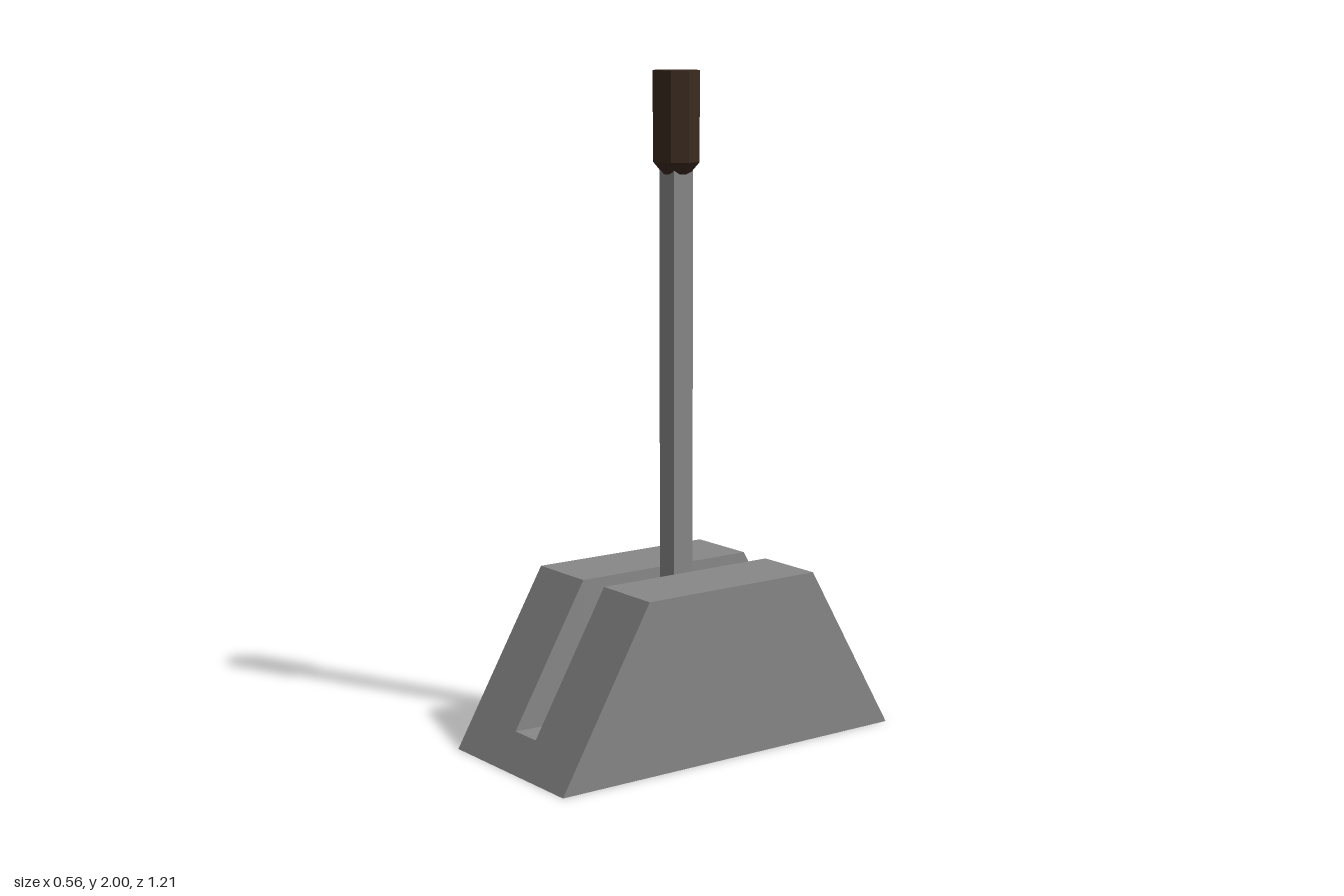
import * as THREE from 'three';

export function createModel() {
  const metal = new THREE.MeshStandardMaterial({ color: 0x888888, side: THREE.DoubleSide });
  metal.name = 'grey metal';
  const grip = new THREE.MeshStandardMaterial({ color: 0x3b2a20, flatShading: true });
  grip.name = 'dark brown grip';

  const model = new THREE.Group();
  model.name = 'lever';
  const add = (name, geometry, material, y = 0) => {
    const mesh = new THREE.Mesh(geometry, material);
    mesh.name = name;
    mesh.position.y = y;
    model.add(mesh);
    return mesh;
  };

  // Base: hollow wedge block, open underneath, with a tapered slot along z
  const X = 0.278, H = 0.517;     // half width, height
  const Z = 0.603, T = 0.302;     // half length at the foot and at the top
  const S = 0.053, N = 0.04;      // slot half width at the opening and at the floor
  const F = 0.1;                  // slot floor height
  const E = Z - (Z - T) * F / H;  // where the slot floor meets the slope
  const quarter = [
    [[X, 0, Z], [X, 0, 0], [X, H, 0], [X, H, T]],               // side
    [[S, H, T], [X, H, T], [X, H, 0], [S, H, 0]],               // top
    [[0, 0, Z], [X, 0, Z], [X, F, E], [0, F, E]],               // slope below the slot
    [[S, F, E], [X, F, E], [X, H, T], [S, H, T]],               // slope beside the slot
    [[0, F, E], [S, F, E], [N, F, T], [N, F, 0], [0, F, 0]],    // slot floor
    [[N, F, 0], [N, F, T], [S, H, T], [S, H, 0]],               // slot wall
    [[N, F, T], [S, F, E], [S, H, T]],                          // slot wall end
  ];
  const positions = [];
  for (const sx of [1, -1]) for (const sz of [1, -1]) {
    for (const face of quarter) {
      const p = face.map(([x, y, z]) => [x * sx, y, z * sz]);
      if (sx * sz < 0) p.reverse().unshift(p.pop()); // mirrored quarters keep outward winding
      for (let i = 1; i < p.length - 1; i++) positions.push(...p[0], ...p[i], ...p[i + 1]);
    }
  }
  const base = new THREE.BufferGeometry();
  base.setAttribute('position', new THREE.Float32BufferAttribute(positions, 3));
  base.computeVertexNormals();
  add('slottedBase', base, metal);

  // Square rod, reaching just through the slot floor
  const rodBottom = 0.06, rodTop = 1.72;
  add('rod', new THREE.BoxGeometry(0.07, rodTop - rodBottom, 0.07), metal, (rodTop + rodBottom) / 2);

  // Eight-sided handle with a chamfered lower end
  const profile = [[0, 1.7], [0.04, 1.7], [0.07, 1.735], [0.07, 2], [0, 2]];
  const handle = new THREE.LatheGeometry(profile.map(([r, y]) => new THREE.Vector2(r, y)), 8);
  add('handle', handle, grip).rotation.y = -0.08;

  return model;
}
